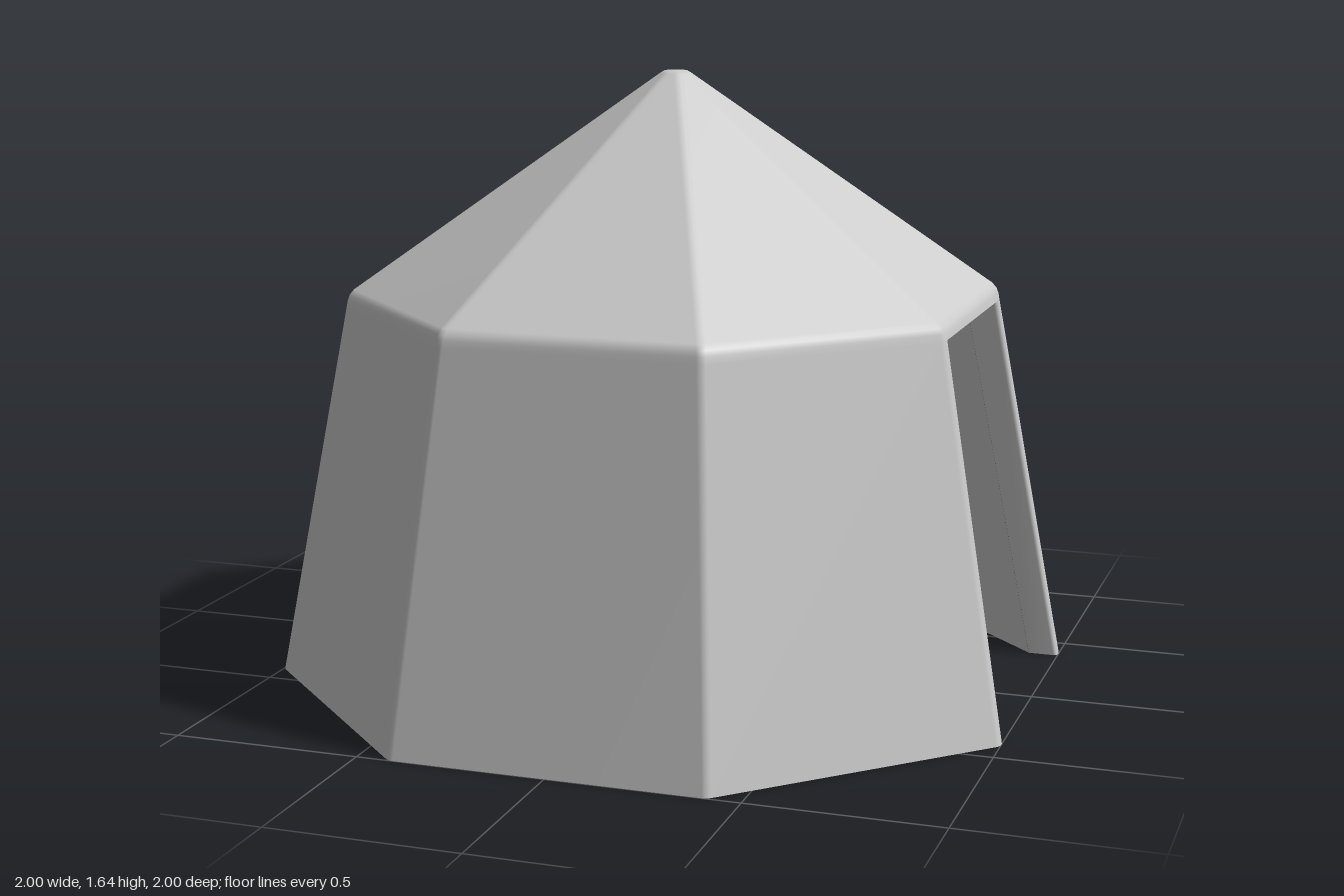
import * as THREE from 'three';

const material = new THREE.MeshStandardMaterial({ color: 0xcccccc });
const TAN = Math.tan(Math.PI / 8);
const DOOR_TOP = 1.01;
const ROUND = 0.03;

// Octagon of apothem a at height y, its corners rounded; starts and ends beside the +x face
function octagon(a, y, round) {
  const r = Math.min(round, a * 0.6);
  const points = [];
  for (let k = 0; k < 8; k++) {
    const corner = (k + 0.5) * Math.PI / 4;
    const c = (a - r) / Math.cos(Math.PI / 8);
    for (let i = 0; i <= 3; i++) {
      const phi = (k + i / 3) * Math.PI / 4;
      points.push([c * Math.cos(corner) + r * Math.cos(phi), y, c * Math.sin(corner) + r * Math.sin(phi)]);
    }
  }
  return points;
}

// Skin over rows of points; closes(j) tells whether band j runs across the +x face
function loft(name, rows, closes = () => false) {
  const n = rows[0].length;
  const index = [];
  for (let j = 0; j < rows.length - 1; j++) {
    const count = closes(j) ? n : n - 1;
    for (let i = 0; i < count; i++) {
      const a = j * n + i, b = j * n + (i + 1) % n;
      index.push(a, a + n, b, b, a + n, b + n);
    }
  }
  const geometry = new THREE.BufferGeometry();
  geometry.setAttribute('position', new THREE.Float32BufferAttribute(rows.flat(2), 3));
  geometry.setIndex(index);
  geometry.computeVertexNormals();
  const mesh = new THREE.Mesh(geometry, material);
  mesh.name = name;
  return mesh;
}

// Door post section, from the inner wall corner out to the rounded outer corner
function jambSection(outer, inner, y) {
  const z = inner * TAN, b = 0.012;
  return [
    [inner, y, z],
    [outer - b, y, z],
    [outer - b * 0.3, y, z + b * 0.3],
    [outer, y, z + b],
    [outer, y, (outer - ROUND) * TAN],
  ];
}

export function createModel() {
  const group = new THREE.Group();
  group.name = 'tent';

  // Outer walls, softened eave and roof; the lowest band leaves the doorway open
  const profile = [
    [1, 0], [0.821, DOOR_TOP], [0.818, 1.028], [0.813, 1.042], [0.802, 1.056],
    [0.04, 1.631], [0.03, 1.637], [0.001, 1.638],
  ];
  group.add(loft('outerShell', profile.map(([a, y]) => octagon(a, y, ROUND)), j => j > 0));

  // Inner walls and ceiling
  const floor = 0.92, eave = 0.734;
  group.add(loft('innerWalls', [octagon(eave, DOOR_TOP, 0.004), octagon(floor, 0, 0.004)]));
  group.add(loft('ceiling', [octagon(0.001, 1.56, 0.004), octagon(eave, DOOR_TOP, 0.004)], () => true));

  // Underside of the walls
  group.add(loft('wallFoot', [octagon(floor, 0, 0.004), octagon(1, 0, ROUND)]));

  // Door posts on both sides of the opening
  const low = jambSection(1, floor, 0);
  const high = jambSection(0.821, eave, DOOR_TOP);
  const foot = [low.slice(1).map(() => low[0]), low.slice(1)];
  const mirror = rows => rows.map(row => row.map(([x, y, z]) => [x, y, -z]).reverse());
  group.add(loft('leftDoorPost', [low, high]), loft('rightDoorPost', mirror([low, high])));
  group.add(loft('leftPostFoot', foot), loft('rightPostFoot', mirror(foot)));

  // Lintel underside over the doorway
  const w = (0.821 - ROUND) * TAN;
  group.add(loft('lintel', [
    [[eave, DOOR_TOP, -eave * TAN], [eave, DOOR_TOP, eave * TAN]],
    [[0.821, DOOR_TOP, -w], [0.821, DOOR_TOP, w]],
  ]));

  return group;
}
